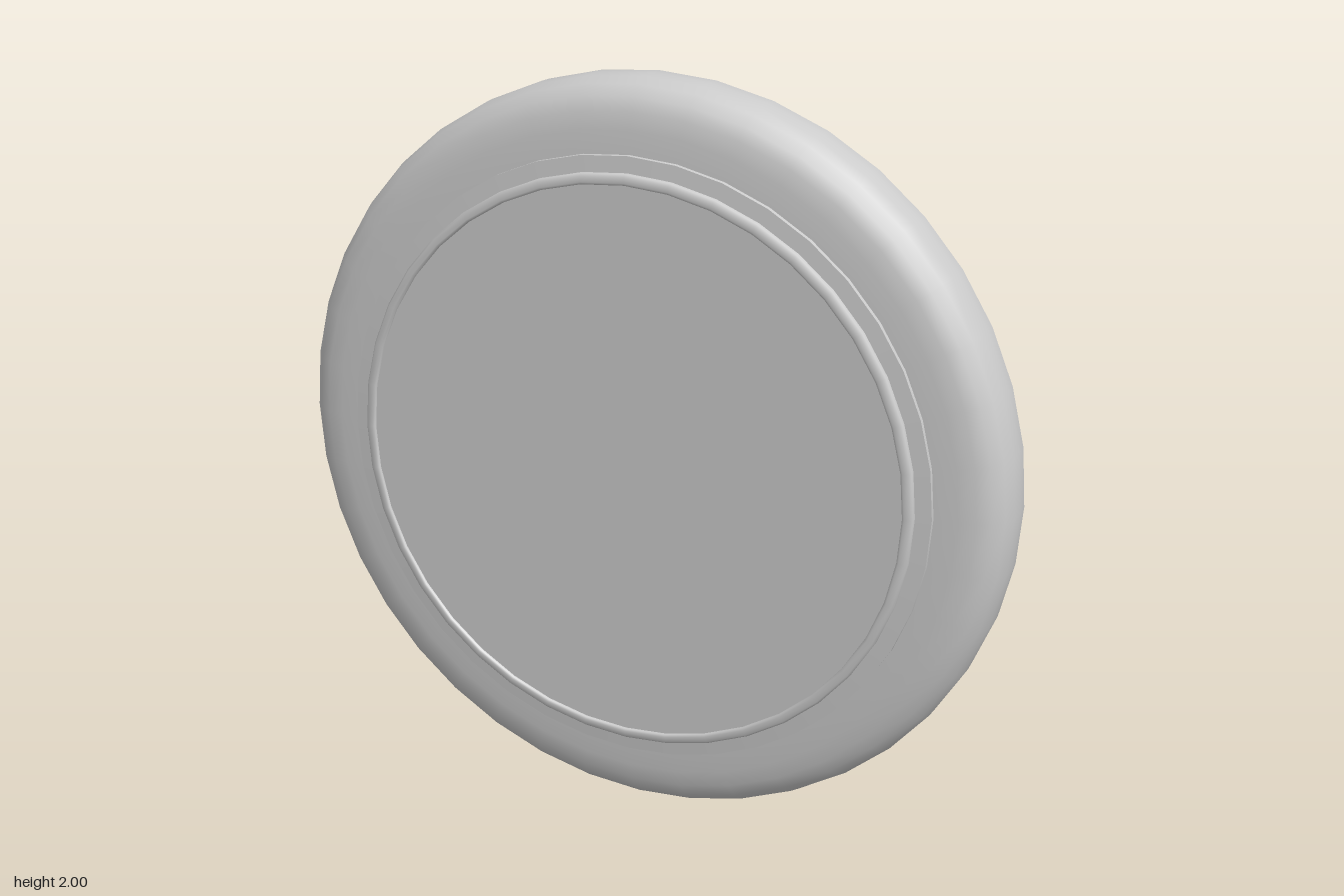
import * as THREE from 'three';

const SEGMENTS = 40;
const material = new THREE.MeshStandardMaterial({ color: 0xcccccc });

// Revolves a list of [radius, z] points around the z axis
function turned(name, points) {
  const profile = points.map(([r, z]) => new THREE.Vector2(r, z));
  const geometry = new THREE.LatheGeometry(profile, SEGMENTS);
  geometry.rotateX(Math.PI / 2);
  const mesh = new THREE.Mesh(geometry, material);
  mesh.name = name;
  return mesh;
}

export function createModel() {
  const model = new THREE.Group();
  model.name = 'roundDisc';

  model.add(
    // Flat back
    turned('backFace', [[0, -0.108], [0.99, -0.108]]),
    // Rounded outer rim, rolling over to the front
    turned('outerRim', [
      [0.99, -0.108], [0.998, -0.1], [1, -0.06], [0.998, -0.02], [0.985, 0.017],
      [0.96, 0.045], [0.925, 0.06], [0.88, 0.067], [0.82, 0.07],
    ]),
    // Low step around the front ring
    turned('stepWall', [[0.82, 0.068], [0.82, 0.083]]),
    turned('stepFace', [[0.82, 0.083], [0.775, 0.087]]),
    // Raised ring with softened edges
    turned('frontRing', [
      [0.778, 0.085], [0.778, 0.1], [0.772, 0.107], [0.757, 0.108], [0.751, 0.105], [0.75, 0.098],
    ]),
    // Slightly sunken front panel
    turned('frontPanel', [[0.752, 0.099], [0, 0.099]]),
  );

  model.position.y = 1;
  const root = new THREE.Group();
  root.add(model);
  return root;
}
